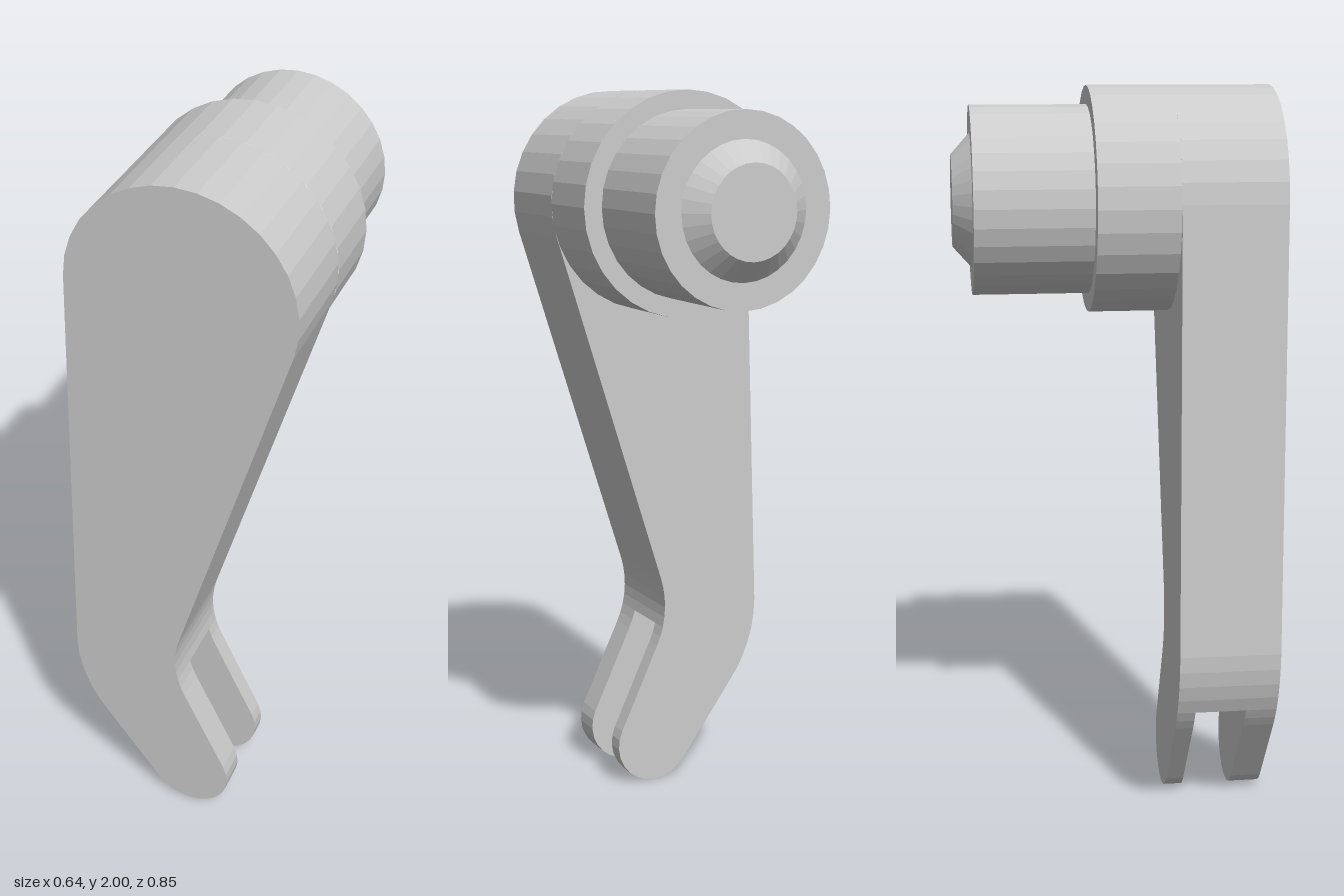
import * as THREE from 'three';

const material = new THREE.MeshStandardMaterial({ color: 0xcccccc, flatShading: true });

// Points on an arc, angles in degrees
function arc(cx, cy, r, from, to, steps) {
  return Array.from({ length: steps + 1 }, (_, i) => {
    const a = THREE.MathUtils.degToRad(from + (to - from) * i / steps);
    return new THREE.Vector2(cx + r * Math.cos(a), cy + r * Math.sin(a));
  });
}

// Flat plate with the given outline between two z values
function plate(name, outline, zBack, zFront) {
  const geometry = new THREE.ExtrudeGeometry(new THREE.Shape(outline), {
    depth: zFront - zBack, bevelEnabled: false,
  });
  geometry.translate(0, 0, zBack);
  const mesh = new THREE.Mesh(geometry, material);
  mesh.name = name;
  return mesh;
}

export function createModel() {
  const group = new THREE.Group();
  group.name = 'leverHandle';
  const hubX = 0.018, hubY = 1.7, hubR = 0.3;
  const back = 0.15, front = 0.425;

  // Arm: round head, tapering sides, bend down to the slot's end face
  group.add(plate('arm', [
    ...arc(hubX, hubY, hubR, -17.5, 178, 18),
    ...arc(0.08, 0.51, 0.4, 180, 206, 4),
    ...arc(0.26, 0.53, 0.28, 193.4, 162.5, 5),
  ], back, front));

  // Forked tip: two prongs with an open slot between them
  const prong = [
    ...arc(0.08, 0.51, 0.4, 206, 216, 2),
    ...arc(0.015, 0.117, 0.117, 216, 385, 12),
    ...arc(0.26, 0.53, 0.28, 205, 193.4, 2),
  ];
  group.add(plate('backProng', prong, back, 0.2));
  group.add(plate('frontProng', prong, 0.34, front));

  // Stepped hub with a chamfered end, turned around the z axis
  const profile = [
    [hubR, -back], [hubR, 0.065], [0.25, 0.065], [0.25, 0.375],
    [0.178, 0.375], [0.122, 0.425], [0, 0.425],
  ].map(([r, y]) => new THREE.Vector2(r, y));
  const hub = new THREE.Mesh(new THREE.LatheGeometry(profile, 32), material);
  hub.name = 'hub';
  hub.rotation.x = -Math.PI / 2;
  hub.position.set(hubX, hubY, 0);
  group.add(hub);

  return group;
}
